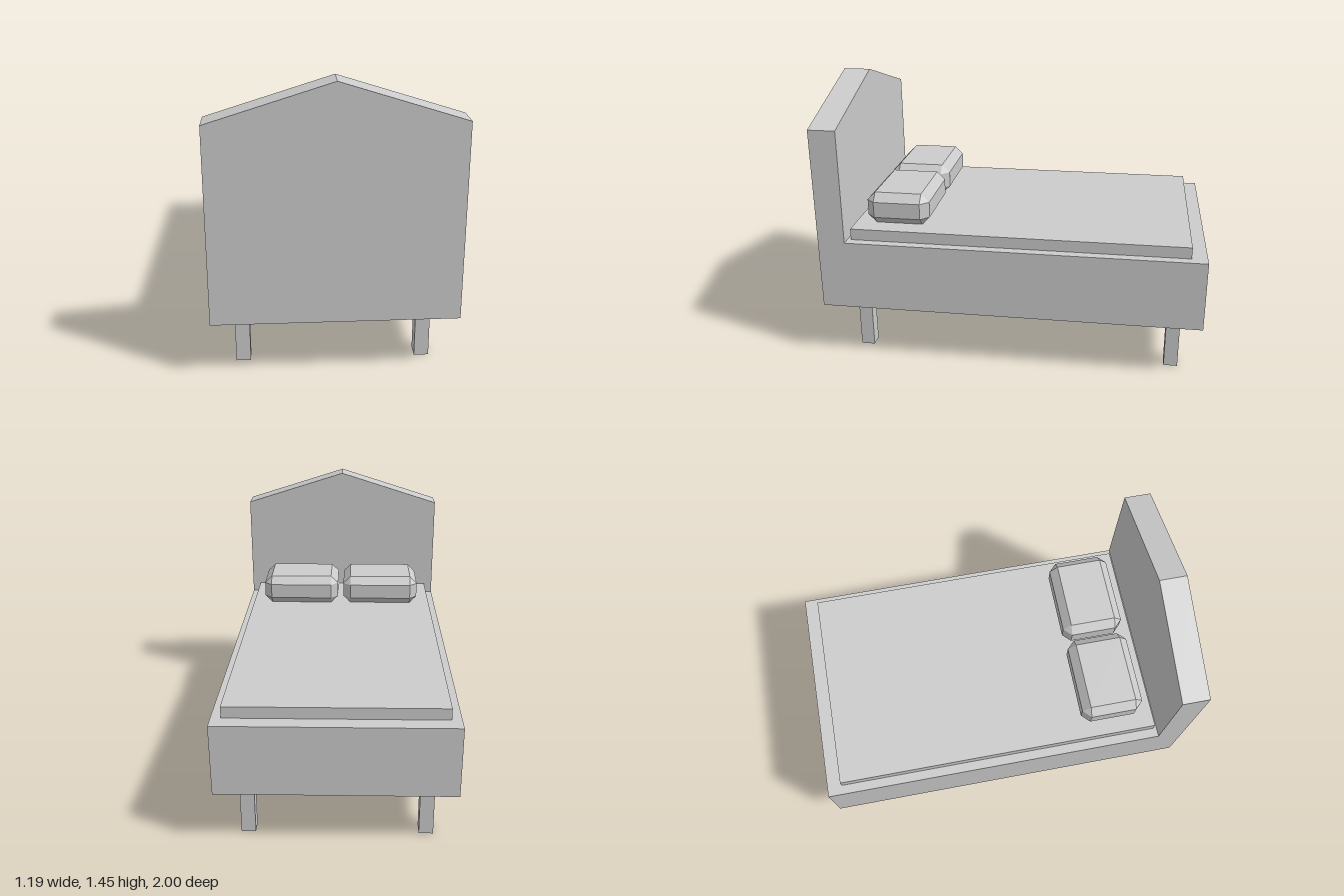
import * as THREE from 'three';
import { ConvexGeometry } from 'three/addons/geometries/ConvexGeometry.js';

const material = new THREE.MeshStandardMaterial({ color: 0xcccccc, flatShading: true });

// Box given by its lower and upper limits on each axis
function box(name, [x0, x1], [y0, y1], [z0, z1]) {
  const mesh = new THREE.Mesh(new THREE.BoxGeometry(x1 - x0, y1 - y0, z1 - z0), material);
  mesh.position.set((x0 + x1) / 2, (y0 + y1) / 2, (z0 + z1) / 2);
  mesh.name = name;
  return mesh;
}

// Box with every edge and corner cut off by the same bevel
function chamferedBox(w, h, d, b) {
  const points = [];
  for (const sx of [-1, 1]) for (const sy of [-1, 1]) for (const sz of [-1, 1]) {
    const x = w / 2, y = h / 2, z = d / 2;
    points.push(
      new THREE.Vector3(sx * x, sy * (y - b), sz * (z - b)),
      new THREE.Vector3(sx * (x - b), sy * y, sz * (z - b)),
      new THREE.Vector3(sx * (x - b), sy * (y - b), sz * z)
    );
  }
  return new ConvexGeometry(points);
}

export function createModel() {
  const bed = new THREE.Group();
  bed.name = 'bed';
  const halfWidth = 0.593, frameBottom = 0.29, headboardBack = 0.857;

  // Frame and mattress
  bed.add(box('frame', [-halfWidth, halfWidth], [frameBottom, 0.66], [-1, headboardBack]));
  bed.add(box('mattress', [-0.543, 0.543], [0.66, 0.72], [-0.92, 0.838]));

  // Headboard with a gabled top, running down to the underside of the frame
  const outline = new THREE.Shape([
    new THREE.Vector2(-halfWidth, frameBottom),
    new THREE.Vector2(halfWidth, frameBottom),
    new THREE.Vector2(halfWidth, 1.263),
    new THREE.Vector2(0, 1.45),
    new THREE.Vector2(-halfWidth, 1.263),
  ]);
  const headboard = new THREE.Mesh(
    new THREE.ExtrudeGeometry(outline, { depth: 1 - headboardBack, bevelEnabled: false }), material);
  headboard.position.z = headboardBack;
  headboard.name = 'headboard';
  bed.add(headboard);

  // Four square legs
  for (const [side, x] of [['Right', -0.449], ['Left', 0.441]])
    for (const [end, z] of [['head', 0.81], ['foot', -0.857]])
      bed.add(box(`${end}Leg${side}`, [x - 0.036, x + 0.036], [0, frameBottom], [z - 0.036, z + 0.036]));

  // Two pillows
  const pillowGeometry = chamferedBox(0.452, 0.17, 0.333, 0.043);
  for (const [name, x] of [['pillowRight', -0.24], ['pillowLeft', 0.246]]) {
    const pillow = new THREE.Mesh(pillowGeometry, material);
    pillow.position.set(x, 0.805, 0.605);
    pillow.name = name;
    bed.add(pillow);
  }
  return bed;
}
